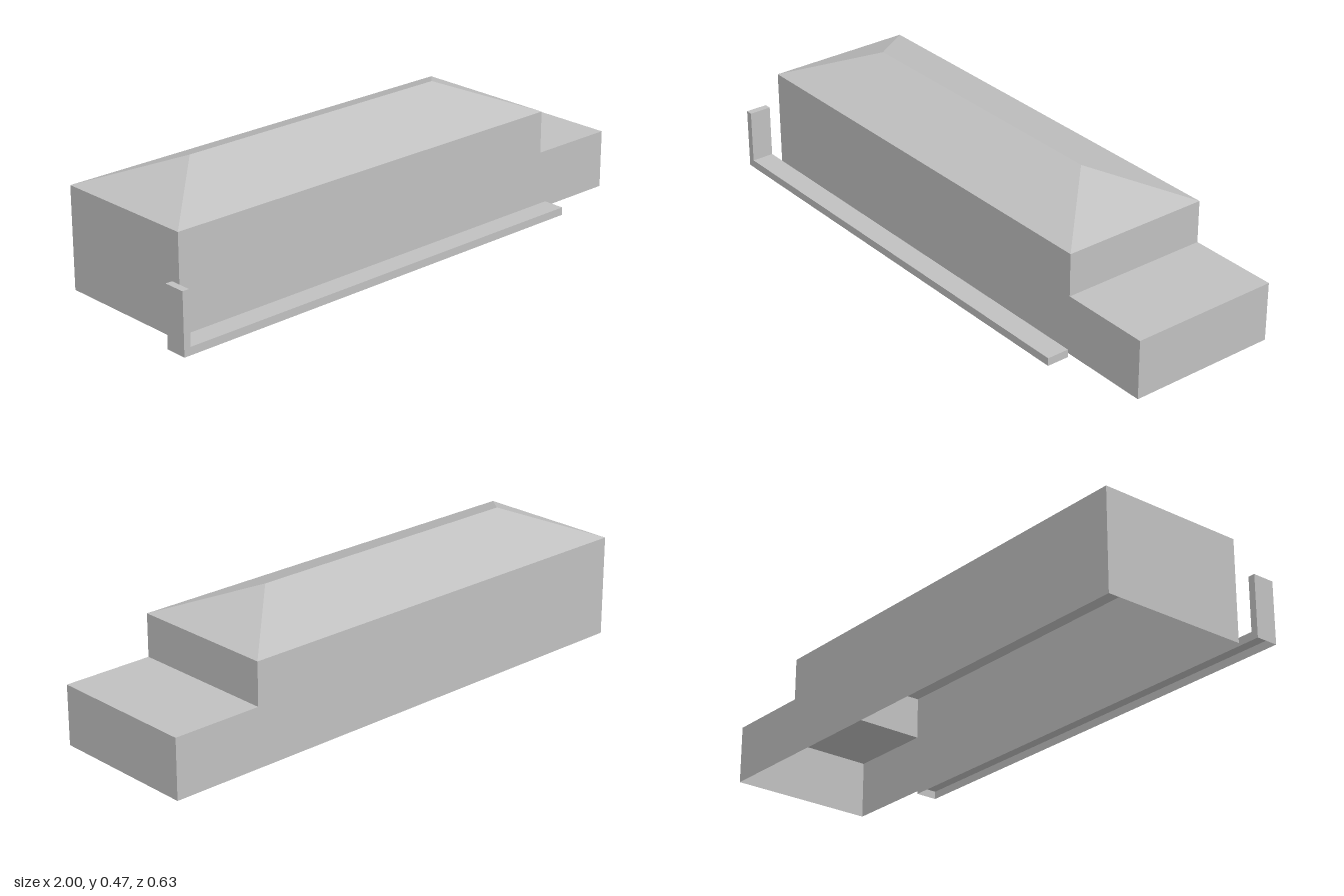
import * as THREE from 'three';

const grey = new THREE.MeshStandardMaterial({ color: 0xc0c0c0, side: THREE.DoubleSide });
grey.name = 'plainGrey';

// Flat-shaded mesh from convex faces, corners counter-clockwise from outside
function faceMesh(name, faces) {
  const pos = [];
  for (const f of faces) {
    for (let i = 1; i < f.length - 1; i++) pos.push(...f[0], ...f[i], ...f[i + 1]);
  }
  const geo = new THREE.BufferGeometry();
  geo.setAttribute('position', new THREE.Float32BufferAttribute(pos, 3));
  geo.computeVertexNormals();
  const mesh = new THREE.Mesh(geo, grey);
  mesh.name = name;
  return mesh;
}

// Front or back wall cut from an elevation outline
function wall(name, outline, z, facesBack) {
  const geo = new THREE.ShapeGeometry(new THREE.Shape(outline.map(([x, y]) => new THREE.Vector2(x, y))));
  if (facesBack) {
    const index = geo.index.array;
    for (let i = 0; i < index.length; i += 3) [index[i], index[i + 1]] = [index[i + 1], index[i]];
    geo.computeVertexNormals();
  }
  geo.translate(0, 0, z);
  const mesh = new THREE.Mesh(geo, grey);
  mesh.name = name;
  return mesh;
}

// Open-bottomed shell: outline runs from ground to ground, right to left;
// the segment numbered `skip` is left open
function shell(name, outline, zBack, zFront, skip = -1) {
  const group = new THREE.Group();
  group.name = name;
  const strips = [];
  for (let i = 0; i < outline.length - 1; i++) {
    if (i === skip) continue;
    const [a, b] = [outline[i], outline[i + 1]];
    strips.push([[...a, zFront], [...a, zBack], [...b, zBack], [...b, zFront]]);
  }
  group.add(
    wall('frontFace', outline, zFront, false),
    wall('backFace', outline, zBack, true),
    faceMesh('endsAndTops', strips),
  );
  return group;
}

export function createModel() {
  const model = new THREE.Group();
  model.name = 'building';

  const [left, right, back, front] = [-0.935, 0.675, -0.317, 0.221];
  const eave = 0.36, ridgeY = 0.467;

  // Main hall and lower annex share continuous long walls
  model.add(shell('hallAndAnnex',
    [[1, 0], [1, 0.209], [right, 0.209], [right, eave], [left, eave], [left, 0]],
    back, front, 3));

  // Hipped roof
  const half = (front - back) / 2, mid = (front + back) / 2;
  const fl = [left, eave, front], fr = [right, eave, front];
  const bl = [left, eave, back], br = [right, eave, back];
  const ridgeL = [left + half, ridgeY, mid], ridgeR = [right - half, ridgeY, mid];
  model.add(faceMesh('hippedRoof', [
    [fl, fr, ridgeR, ridgeL],
    [br, bl, ridgeL, ridgeR],
    [fr, br, ridgeR],
    [bl, fl, ridgeL],
  ]));

  // Low platform along the front with an upright slab at its end
  model.add(shell('platformAndPost',
    [[0.69, 0], [0.69, 0.028], [-0.975, 0.028], [-0.975, 0.217], [-1, 0.217], [-1, 0]],
    0.237, 0.317));

  return model;
}
